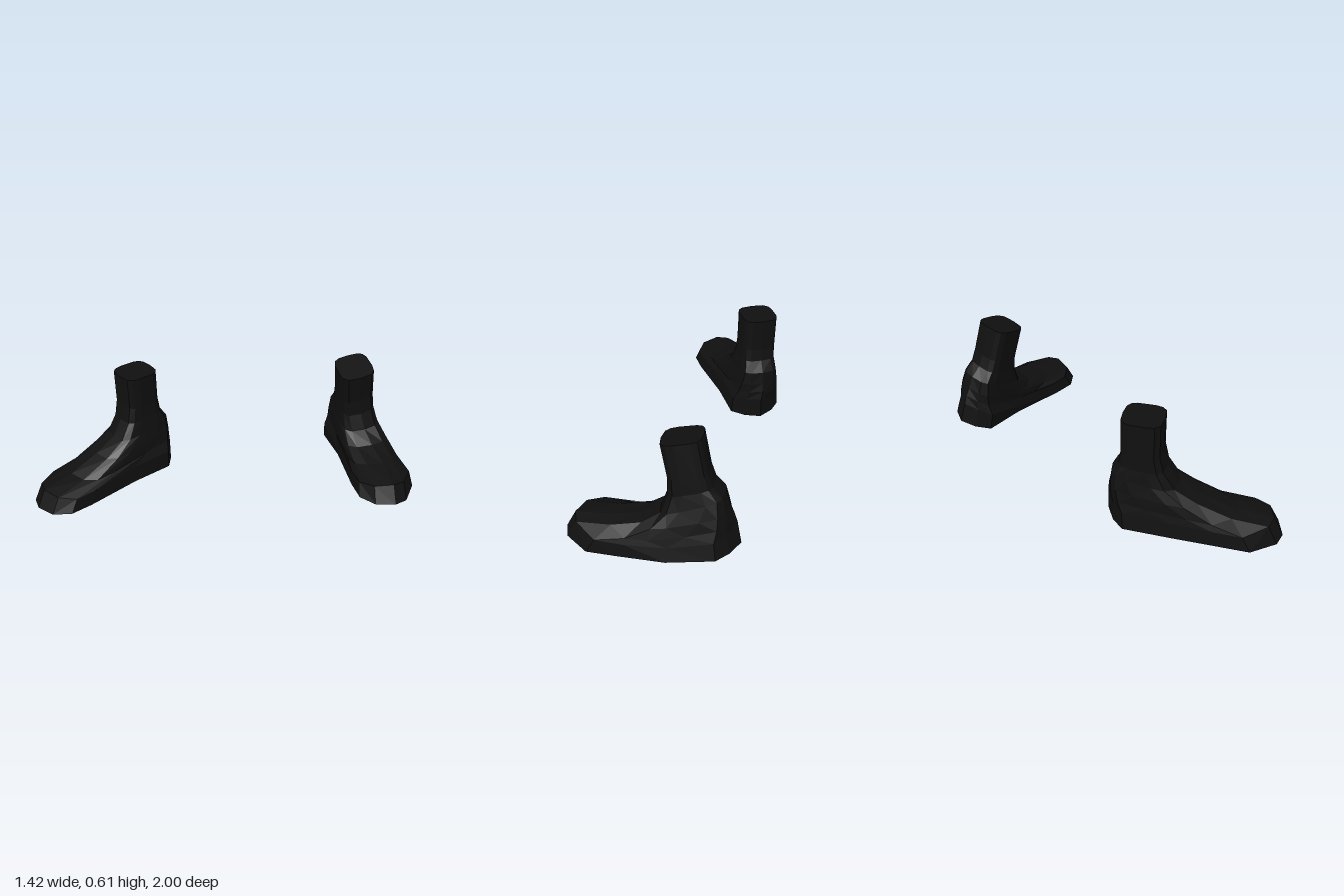
import * as THREE from 'three';

// Sole outline: x as a fraction of the half width, z from heel (0) to toe (1)
const SOLE = [
  [-1, 0.84], [-0.45, 0.975], [0, 1], [0.64, 0.965], [1, 0.87], [1, 0.73], [0.82, 0.375],
  [0.82, 0.11], [0.42, 0.04], [-0.1, 0], [-0.64, 0.055], [-0.98, 0.125], [-1, 0.4], [-1, 0.66],
];
// Matching directions (degrees) on the rounded-square ankle outline
const ANKLE = [150, 120, 90, 60, 32, 8, -18, -42, -66, -90, -114, -138, -162, 174];

// Rings from sole to shin: front z, front y, back z, back y, xMin, xMax, ankle share, side dip
const RINGS = [
  [0.88, 0.01, 0, 0.01, -0.165, 0.167, 0, 0],
  [0.83, 0.11, 0, 0.13, -0.155, 0.158, 0, 0.03],
  [0.65, 0.13, 0.005, 0.18, -0.148, 0.125, 0.3, 0.02],
  [0.48, 0.19, 0.015, 0.23, -0.142, 0.11, 0.6, 0.01],
  [0.36, 0.25, 0.025, 0.3, -0.13, 0.09, 0.85, 0],
  [0.3, 0.34, 0.065, 0.36, -0.122, 0.077, 1, 0],
  [0.28, 0.43, 0.075, 0.43, -0.123, 0.073, 1, 0],
  [0.28, 0.61, 0.075, 0.61, -0.125, 0.073, 1, 0],
];

// Pull a sine or cosine toward the corners of a square
const squarer = (t) => Math.sign(t) * Math.abs(t) ** 0.55;

// Roll the heel and shin forward and toward the inner side, leaving the toes flat
function bend(p, forward, inward) {
  const w = THREE.MathUtils.clamp((0.62 - p.z) / 0.32, 0, 1);
  const pivot = new THREE.Vector3(-0.025, 0, 0.18);
  p.sub(pivot)
    .applyAxisAngle(new THREE.Vector3(1, 0, 0), forward * w)
    .applyAxisAngle(new THREE.Vector3(0, 0, 1), -inward * w)
    .add(pivot);
  p.y = Math.max(p.y, 0.006);
  return p;
}

function footGeometry(mirror, forward, inward) {
  const n = SOLE.length;
  const positions = [];
  const index = [];
  const add = (p) => positions.push(p.x * mirror, p.y, p.z);
  const face = (a, b, c) => (mirror > 0 ? index.push(a, b, c) : index.push(a, c, b));

  const rings = RINGS.map(([zF, yF, zB, yB, xMin, xMax, share, dip]) =>
    SOLE.map(([su, sv], i) => {
      const angle = THREE.MathUtils.degToRad(ANKLE[i]);
      const u = THREE.MathUtils.lerp(su, squarer(Math.cos(angle)), share);
      const v = THREE.MathUtils.lerp(sv, 0.5 + squarer(Math.sin(angle)) / 2, share);
      return bend(new THREE.Vector3(
        (xMin + xMax) / 2 + (u * (xMax - xMin)) / 2,
        yB + (yF - yB) * v - dip * u * u,
        zB + (zF - zB) * v,
      ), forward, inward);
    }));
  rings.forEach((ring) => ring.forEach(add));

  // Skin between the rings, open at the sole
  for (let r = 0; r < rings.length - 1; r++) {
    for (let i = 0; i < n; i++) {
      const a = r * n + i, b = r * n + ((i + 1) % n);
      face(a, b, b + n);
      face(a, b + n, a + n);
    }
  }

  // Flat cap on the shin
  const top = (rings.length - 1) * n;
  add(rings.at(-1).reduce((sum, p) => sum.add(p), new THREE.Vector3()).divideScalar(n));
  for (let i = 0; i < n; i++) face(top + n, top + i, top + ((i + 1) % n));

  const geometry = new THREE.BufferGeometry();
  geometry.setAttribute('position', new THREE.Float32BufferAttribute(positions, 3));
  geometry.setIndex(index);
  geometry.computeVertexNormals();
  return geometry;
}

export function createModel() {
  const group = new THREE.Group();
  group.name = 'feet';
  const material = new THREE.MeshStandardMaterial({
    color: 0x101010, flatShading: true, side: THREE.DoubleSide,
  });

  // Straight standing foot
  const rightFoot = new THREE.Mesh(footGeometry(1, 0, 0), material);
  rightFoot.name = 'rightFoot';
  rightFoot.position.set(-0.545, 0, 0.12);

  // Turned-out foot with a leaning shin
  const leftFoot = new THREE.Mesh(footGeometry(-1, 0.22, 0.16), material);
  leftFoot.name = 'leftFoot';
  leftFoot.position.set(-0.097, 0, -0.903);
  leftFoot.rotation.y = THREE.MathUtils.degToRad(65);

  group.add(rightFoot, leftFoot);
  return group;
}
